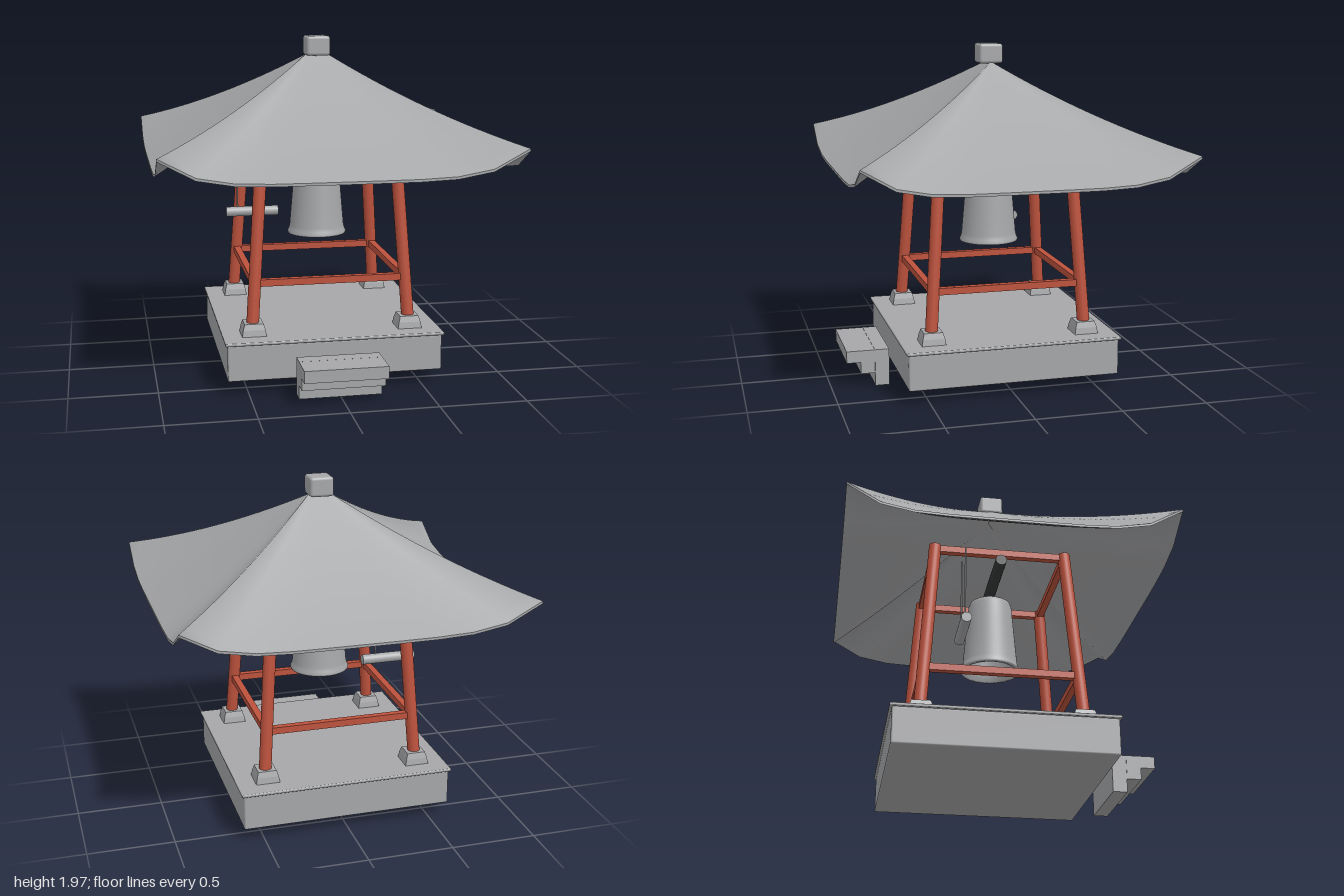
import * as THREE from 'three';
import { RoundedBoxGeometry } from 'three/addons/geometries/RoundedBoxGeometry.js';

const stone = new THREE.MeshStandardMaterial({ color: 0xa6a7a9 });
stone.name = 'stone grey';
const red = new THREE.MeshStandardMaterial({ color: 0xbd523d });
red.name = 'painted red wood';
const dark = new THREE.MeshStandardMaterial({ color: 0x363838 });
dark.name = 'dark iron';

const V = (x, y, z) => new THREE.Vector3(x, y, z);

function add(group, name, geometry, material, x = 0, y = 0, z = 0) {
  const mesh = new THREE.Mesh(geometry, material);
  mesh.name = name;
  mesh.position.set(x, y, z);
  group.add(mesh);
  return mesh;
}

// Round bar between two points
function bar(group, name, a, b, radius, material, sides = 20) {
  const dir = b.clone().sub(a);
  const mesh = add(group, name, new THREE.CylinderGeometry(radius, radius, dir.length(), sides), material);
  mesh.position.copy(a).add(b).multiplyScalar(0.5);
  mesh.quaternion.setFromUnitVectors(V(0, 1, 0), dir.normalize());
  return mesh;
}

// Four-sided sweeping roof: closed rings from a short ridge to the eave,
// over the rim and back along the underside
function roofGeometry() {
  const perSide = 10, steps = 16, thick = 0.015;
  const rows = [];
  for (let i = 0; i <= steps; i++) rows.push([i / steps, 0]);
  rows.push([1, 0], [1, -thick]);
  for (let i = steps; i >= 0; i--) rows.push([i / steps, -thick]);

  const count = perSide * 4, pos = [], index = [];
  for (const [u, dy] of rows) {
    for (let j = 0; j < count; j++) {
      const t = (j % perSide) / perSide * 2 - 1;
      const [sx, sz] = [[t, 1], [1, -t], [-t, -1], [-1, t]][Math.floor(j / perSide)];
      // Slopes sag towards the eave, and the hips lift at the corners
      const sag = 0.72 * u - 0.11 * u * u;
      const lift = (0.1 * u + 0.05 * u * u) * Math.pow(Math.abs(t), 5.5);
      pos.push(sx * (0.06 + 0.94 * u), 1.86 - sag + lift + dy, sz * 0.927 * u);
    }
  }
  for (let i = 0; i < rows.length - 1; i++) {
    if (i === steps || i === steps + 2) continue; // crease between duplicate rings
    for (let j = 0; j < count; j++) {
      const k = (j + 1) % count;
      const a = i * count + j, b = a + count, c = (i + 1) * count + k, d = i * count + k;
      index.push(a, b, c, a, c, d);
    }
  }
  const g = new THREE.BufferGeometry();
  g.setAttribute('position', new THREE.Float32BufferAttribute(pos, 3));
  g.setIndex(index);
  g.computeVertexNormals();
  return g;
}

// Square frustum aligned to the axes, given its half widths
function frustum(top, bottom, height) {
  const g = new THREE.CylinderGeometry(top * Math.SQRT2, bottom * Math.SQRT2, height, 4).toNonIndexed();
  g.rotateY(Math.PI / 4);
  g.computeVertexNormals();
  return g;
}

export function createModel() {
  const model = new THREE.Group();
  model.name = 'bellPavilion';

  // Platform
  add(model, 'platform', new RoundedBoxGeometry(1.235, 0.21, 1.235, 2, 0.01), stone, 0, 0.183, 0);
  add(model, 'platformSlab', new RoundedBoxGeometry(1.26, 0.018, 1.26, 2, 0.006), stone, 0, 0.295, 0);

  // Steps: three blocks sharing one top height
  const steps = new THREE.Group();
  steps.name = 'steps';
  model.add(steps);
  [[0.703, 0], [0.787, 0.078], [0.869, 0.147]].forEach(([z, low]) => {
    add(steps, 'step', new THREE.BoxGeometry(0.473, 0.217 - low, 0.083), stone, 0, (0.217 + low) / 2, z);
  });

  // Leaning pillars on stone footings
  const footX = 0.455, headX = 0.383, headY = 1.4;
  const frame = new THREE.Group();
  frame.name = 'frame';
  model.add(frame);
  const corners = [[1, 1], [1, -1], [-1, -1], [-1, 1]];
  const at = (y) => footX + (headX - footX) * (y - 0.36) / (headY - 0.36);
  corners.forEach(([sx, sz], i) => {
    add(frame, 'footingBase', frustum(0.064, 0.07, 0.036), stone, sx * 0.453, 0.322, sz * 0.453);
    add(frame, 'footingTop', frustum(0.054, 0.064, 0.034), stone, sx * 0.453, 0.357, sz * 0.453);
    bar(frame, 'pillar', V(sx * footX, 0.36, sz * footX), V(sx * headX, headY, sz * headX), 0.036, red, 24);
    // Square rails on each side, low and high
    for (const [name, y] of [['lowerRail', 0.598], ['upperRail', 1.375]]) {
      const d = at(y);
      const rail = add(frame, name, new THREE.BoxGeometry(2 * d, 0.04, 0.04), red);
      rail.rotation.y = i * Math.PI / 2;
      rail.position.set(Math.sin(rail.rotation.y) * d, y, Math.cos(rail.rotation.y) * d);
    }
  });

  // Roof and finial
  add(model, 'roof', roofGeometry(), stone);
  add(model, 'finial', new RoundedBoxGeometry(0.142, 0.116, 0.142, 3, 0.018), stone, 0, 1.907, 0);

  // Bell under its beam
  bar(model, 'bellBeam', V(-0.44, 1.31, 0), V(0.44, 1.31, 0), 0.033, dark);
  const profile = [
    [0, 1.245], [0.105, 1.242], [0.122, 1.23], [0.131, 1.205], [0.142, 1.08], [0.154, 0.94],
    [0.163, 0.835], [0.168, 0.812], [0.176, 0.795], [0.174, 0.785], [0.155, 0.785],
    [0.145, 0.86], [0.12, 1.17], [0, 1.21],
  ].map(([r, y]) => new THREE.Vector2(r, y)).reverse();
  add(model, 'bell', new THREE.LatheGeometry(profile, 48), stone);
  bar(model, 'bellHanger', V(0, 1.23, 0), V(0, 1.29, 0), 0.02, dark);

  // Striker log hung on two cords
  const striker = new THREE.Group();
  striker.name = 'striker';
  model.add(striker);
  bar(striker, 'strikerLog', V(-0.525, 0.883, -0.212), V(-0.205, 0.883, -0.212), 0.03, stone, 24);
  for (const x of [-0.455, -0.288]) {
    bar(striker, 'strikerCord', V(x, 0.905, -0.212), V(x, 1.36, -0.212), 0.005, stone, 8);
  }
  return model;
}
